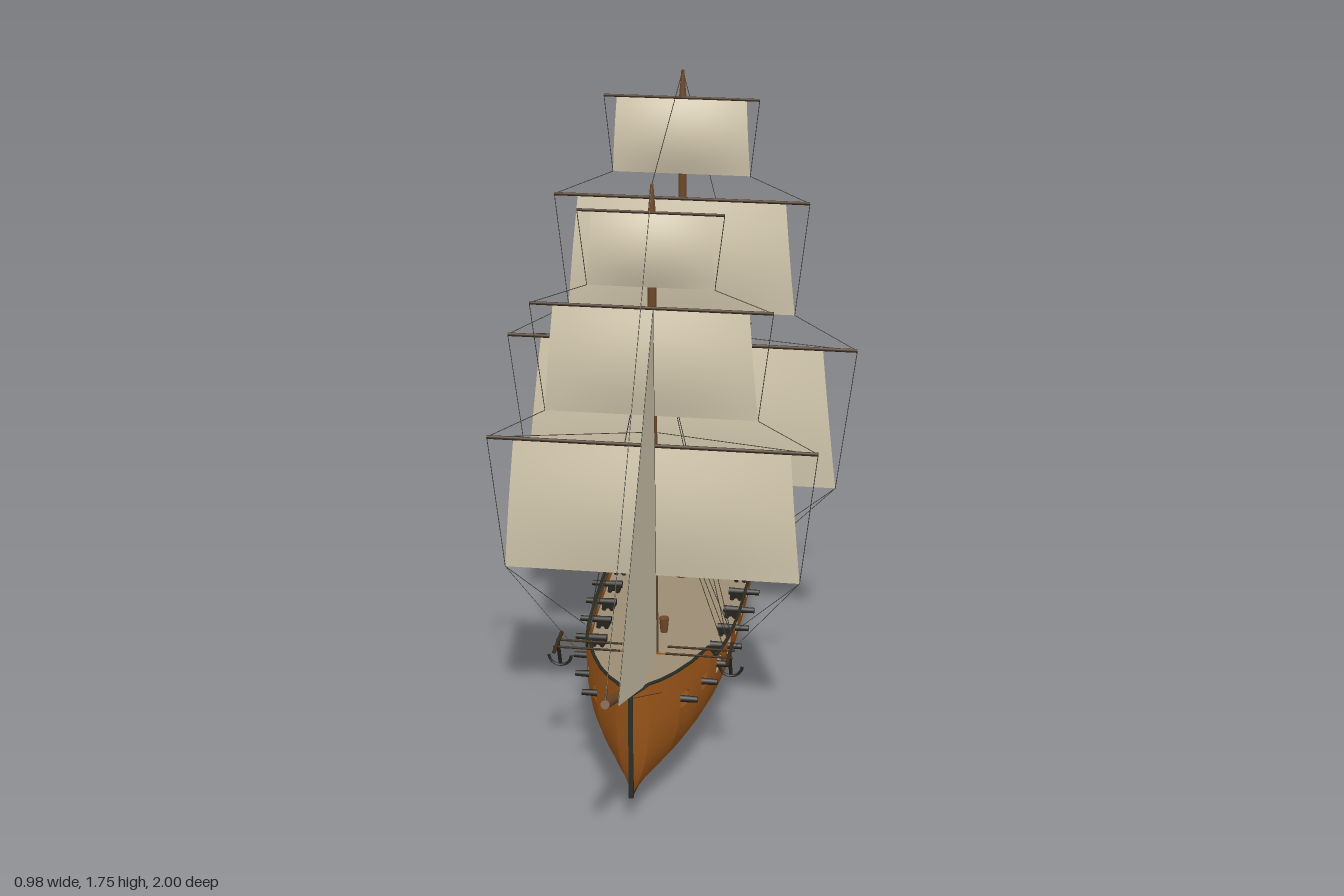
import * as THREE from 'three';

const mat = (name, color, double = false) => {
  const m = new THREE.MeshStandardMaterial({ color });
  m.name = name;
  if (double) m.side = THREE.DoubleSide;
  return m;
};

// Linear lookup in a short [z, value] table sorted by falling z
const lookup = (table, z) => {
  for (let i = 0; i < table.length - 1; i++) {
    const [a, va] = table[i], [b, vb] = table[i + 1];
    if (z <= a && z >= b) return va + (vb - va) * (a - z) / (a - b);
  }
  return z > table[0][0] ? table[0][1] : table[table.length - 1][1];
};
const BEAM = [[0.61, 0.004], [0.58, 0.04], [0.54, 0.073], [0.48, 0.107], [0.4, 0.139], [0.3, 0.165], [0.2, 0.183],
  [0.1, 0.195], [-0.05, 0.203], [-0.25, 0.206], [-0.45, 0.205], [-0.6, 0.2], [-0.72, 0.19], [-0.82, 0.172], [-0.88, 0.154], [-0.92, 0.137], [-0.96, 0.105]];
const SHEER = [[0.61, 0.385], [0.575, 0.4], [0.29, 0.37], [0.25, 0.322], [0, 0.308], [-0.3, 0.306], [-0.56, 0.317],
  [-0.572, 0.358], [-0.89, 0.374], [-0.92, 0.336], [-0.96, 0.328]];
const keelY = z => 0.004 + 0.086 * Math.pow(Math.abs(z + 0.15) / (z > -0.15 ? 0.76 : 0.81), 2.2);
const halfWidth = (z, y) => {
  const t = (y - keelY(z)) / (0.31 - keelY(z));
  const f = t < 1 ? 1 - Math.pow(1 - Math.max(t, 0), 2.6) : 1 - 0.25 * (t - 1);
  return lookup(BEAM, z) * f;
};
// Gun ports: a row of square openings following the sheer
const PORT = 0.0195;
const portZ = Array.from({ length: 12 }, (_, i) => 0.455 - i * 0.1145);
const portY = z => 0.28 + 0.055 * (z + 0.15) ** 2;
const stations = [...new Set([...BEAM, ...SHEER].map(p => p[0]).concat(portZ.flatMap(z => [z + PORT, z - PORT])))].sort((a, b) => b - a);

// Surface through a grid of points given by a rule, leaving out cells where isHole is true
function surface(nu, nv, rule, isHole = () => false) {
  const pos = [], idx = [];
  for (let i = 0; i <= nu; i++) for (let j = 0; j <= nv; j++) pos.push(...rule(i, j));
  for (let i = 0; i < nu; i++) for (let j = 0; j < nv; j++) {
    if (isHole(i, j)) continue;
    const a = i * (nv + 1) + j, b = a + nv + 1;
    idx.push(a, b, a + 1, b, b + 1, a + 1);
  }
  const g = new THREE.BufferGeometry();
  g.setAttribute('position', new THREE.Float32BufferAttribute(pos, 3));
  g.setIndex(idx);
  g.computeVertexNormals();
  return g;
}

export function createModel() {
  const root = new THREE.Group();
  root.name = 'sailingShip';
  const hullMat = mat('hullWood', 0x9a5519, true);
  const deckMat = mat('deckPlanks', 0x9c8d74, true);
  const sparMat = mat('sparWood', 0x6e4828);
  const yardMat = mat('darkYardWood', 0x3d2a18);
  const sailMat = mat('sailCloth', 0xd4c9af, true);
  const trimMat = mat('darkTrim', 0x2a2e24, true);
  const ironMat = mat('iron', 0x24221d);
  const ropeMat = mat('rope', 0x443d33);

  const add = (name, geo, m, parent = root) => {
    const mesh = new THREE.Mesh(geo, m);
    mesh.name = name;
    parent.add(mesh);
    return mesh;
  };
  const box = (name, m, w, h, d, x, y, z, parent) => {
    const b = add(name, new THREE.BoxGeometry(w, h, d), m, parent);
    b.position.set(x, y, z);
    return b;
  };
  const rod = (name, m, a, b, r0, r1 = r0, sides = 8, parent = root) => {
    const p = new THREE.Vector3(...a), q = new THREE.Vector3(...b), d = q.clone().sub(p);
    const c = add(name, new THREE.CylinderGeometry(r1, r0, d.length(), sides), m, parent);
    c.position.copy(p).add(q).multiplyScalar(0.5);
    c.quaternion.setFromUnitVectors(new THREE.Vector3(0, 1, 0), d.normalize());
    return c;
  };
  const rigging = new THREE.Group();
  rigging.name = 'rigging';
  root.add(rigging);
  const rope = (a, b) => rod('rope', ropeMat, a, b, 0.001, 0.001, 4, rigging);

  // Hull sides: rows below, across and above the open gun ports
  const low = 11, rows = low + 3;
  const hullY = (z, j) => {
    const k = keelY(z), top = lookup(SHEER, z);
    const portTop = Math.min(portY(z) + PORT, top - 0.004), portFoot = portTop - 2 * PORT;
    if (j <= low) return k + (portFoot - k) * Math.pow(j / low, 1.4);
    return portTop + (top - portTop) * (j - low - 1) / 2;
  };
  const isPort = (i, j) => {
    const mid = (stations[i] + stations[i + 1]) / 2;
    return j === low && portZ.some(z => Math.abs(z - mid) < PORT);
  };
  for (const s of [1, -1]) {
    add(s > 0 ? 'leftHull' : 'rightHull', surface(stations.length - 1, rows, (i, j) => {
      const z = stations[i], y = hullY(z, j);
      return [s * halfWidth(z, y), y, z];
    }, isPort), hullMat);
    // Rail along the sheer
    const path = new THREE.CurvePath();
    const pts = stations.map(z => {
      const y = lookup(SHEER, z);
      return new THREE.Vector3(s * halfWidth(z, y), y, z);
    });
    for (let i = 1; i < pts.length; i++) path.add(new THREE.LineCurve3(pts[i - 1], pts[i]));
    add('rail', new THREE.TubeGeometry(path, 160, 0.0045, 5), trimMat);
  }

  // Transom, keel, stem and rudder
  add('transom', surface(rows, 1, (i, j) => {
    const y = hullY(-0.96, i);
    return [(j ? -1 : 1) * halfWidth(-0.96, y), y, -0.961];
  }), trimMat);
  const keelPts = BEAM.map(([z]) => new THREE.Vector3(0, keelY(z) + 0.002, z));
  add('keel', new THREE.TubeGeometry(new THREE.CatmullRomCurve3(keelPts), 40, 0.005, 6), trimMat);
  box('stem', trimMat, 0.012, 0.3, 0.012, 0, 0.238, 0.606);
  box('rudder', sparMat, 0.012, 0.14, 0.035, 0, 0.11, -0.98);

  // Decks on three levels, with bulkheads at the steps
  const deck = (name, z0, z1, y) => {
    const zs = [z0, ...stations.filter(z => z < z0 && z > z1), z1];
    add(name, surface(zs.length - 1, 1, (i, j) => [(j ? 1 : -1) * halfWidth(zs[i], y) * 0.99, y, zs[i]]), deckMat);
  };
  deck('foreDeck', 0.605, 0.285, 0.336);
  deck('mainDeck', 0.285, -0.555, 0.257);
  deck('quarterDeck', -0.555, -0.915, 0.336);
  deck('sternLedge', -0.915, -0.96, 0.326);
  box('foreBulkhead', hullMat, 0.326, 0.082, 0.006, 0, 0.297, 0.285);
  box('quarterBulkhead', hullMat, 0.4, 0.085, 0.008, 0, 0.298, -0.553);
  box('sternRail', hullMat, 0.268, 0.028, 0.008, 0, 0.33, -0.915);

  // Cannons in the ports
  for (const z of portZ) for (const s of [1, -1]) {
    const gun = new THREE.Group();
    gun.name = 'gun';
    root.add(gun);
    const y = portY(z), w = halfWidth(z, y), cx = s * (w - 0.03);
    rod('barrel', ironMat, [s * (w - 0.052), y, z], [s * (w + 0.034), y, z], 0.011, 0.008, 8, gun);
    box('carriage', ironMat, 0.036, 0.014, 0.022, cx, y - 0.01, z, gun);
    for (const e of [-0.011, 0.011]) rod('axle', ironMat, [cx + e, y - 0.014, z - 0.018], [cx + e, y - 0.014, z + 0.018], 0.007, 0.007, 8, gun);
  }

  // Square-rigged masts. Sail: yard height, yard half, foot height, head half, foot half
  const masts = [
    { name: 'foreMast', z: 0.22, top: 1.6, sails: [[0.912, 0.43, 0.545, 0.36, 0.39], [1.285, 0.31, 0.995, 0.25, 0.275], [1.535, 0.185, 1.34, 0.15, 0.162]] },
    { name: 'mainMast', z: -0.36, top: 1.75, sails: [[0.985, 0.49, 0.57, 0.395, 0.44], [1.4, 0.35, 1.08, 0.285, 0.315], [1.68, 0.21, 1.47, 0.175, 0.187]] },
  ];
  for (const { name, z, top, sails } of masts) {
    rod(name, sparMat, [0, 0.2, z], [0, top - 0.08, z], 0.016, 0.0105, 12);
    rod(name + 'Tip', sparMat, [0, top - 0.08, z], [0, top, z], 0.0105, 0.004, 12);
    const zy = z + 0.024;
    sails.forEach(([yardY, yardHalf, footY, headHalf, footHalf], n) => {
      const thick = 0.0055 - n * 0.0008;
      rod('yard', yardMat, [-yardHalf, yardY, zy], [yardHalf, yardY, zy], thick);
      add('squareSail', surface(10, 10, (i, j) => {
        const u = i / 5 - 1, v = j / 10;
        const x = u * (headHalf + (footHalf - headHalf) * v);
        const belly = 0.026 * Math.sin(Math.PI * v) * (0.4 + 0.6 * Math.cos(u * Math.PI / 2));
        return [x, yardY + (footY - yardY) * v, zy + belly];
      }), sailMat);
      // Sheets to the yard below, lifts to the mast, braces aft
      for (const s of [1, -1]) {
        const clew = [s * footHalf, footY, zy], tip = [s * yardHalf, yardY, zy];
        rope(tip, clew);
        rope(clew, n ? [s * sails[n - 1][1], sails[n - 1][0], zy] : [s * 0.2, 0.325, z - 0.1]);
        if (!n) {
          rope(clew, [s * 0.19, 0.325, z + 0.06]);
          rope(tip, [0, yardY + 0.02, z - 0.02]);
        }
      }
    });
    // Shrouds
    for (const s of [1, -1]) for (let k = 0; k < 3; k++) {
      const za = z - 0.04 - k * 0.045, ya = lookup(SHEER, za), foot = [s * halfWidth(za, ya), ya, za];
      rope(foot, [0, sails[0][0], z]);
      if (k) rope(foot, [0, sails[1][0], z]);
    }
  }

  // Bowsprit and jib
  rod('bowsprit', sparMat, [0, 0.333, 0.44], [0, 0.565, 0.995], 0.0135, 0.011, 10);
  const panel = (name, pts) => add(name, surface(1, 1, (i, j) => pts[i * 2 + j]), sailMat);
  const tack = [0.03, 0.56, 0.99], head = [0.03, 1.34, 0.41], clew = [0.03, 0.38, 0.355];
  panel('jib', [head, tack, clew, [0.03, 0.395, 0.58]]);
  rope(head, tack);
  rope(head, clew);

  // Spanker with gaff and boom
  const throat = [0.03, 0.8, -0.36], peak = [0.145, 0.9, -0.745], boomIn = [0.03, 0.415, -0.36], boomOut = [0.145, 0.415, -0.745];
  panel('spanker', [throat, boomIn, peak, boomOut]);
  rod('gaff', yardMat, throat, [0.15, 0.903, -0.755], 0.006, 0.005);
  rod('boom', yardMat, boomIn, boomOut, 0.005);
  rope(peak, boomOut);

  // Stays
  rope([0, 1.6, 0.22], [0, 1.75, -0.36]);
  rope([0, 1.75, -0.36], peak);
  rope([0, 1.6, 0.22], [0, 0.565, 0.99]);
  for (const s of [1, -1]) rope([0, 0.56, 0.98], [s * 0.07, 0.36, 0.54]);

  // Catheads and anchors
  for (const s of [1, -1]) {
    const anchor = new THREE.Group();
    anchor.name = 'anchor';
    root.add(anchor);
    for (const z of [0.36, 0.4]) rod('cathead', yardMat, [s * 0.06, 0.398, z], [s * 0.235, 0.398, z], 0.003, 0.003, 6, anchor);
    rod('stock', yardMat, [s * 0.225, 0.405, 0.33], [s * 0.225, 0.405, 0.445], 0.005, 0.005, 6, anchor);
    rod('shank', ironMat, [s * 0.225, 0.412, 0.39], [s * 0.225, 0.325, 0.355], 0.005, 0.005, 6, anchor);
    const arms = add('flukes', new THREE.TorusGeometry(0.03, 0.004, 6, 12, Math.PI), ironMat, anchor);
    arms.position.set(s * 0.225, 0.355, 0.36);
    arms.rotation.z = Math.PI;
  }

  // Capstan and steering wheel
  rod('capstan', sparMat, [0, 0.257, 0], [0, 0.3, 0], 0.01, 0.014, 10);
  const wheel = add('steeringWheel', new THREE.TorusGeometry(0.019, 0.003, 6, 16), yardMat);
  wheel.position.set(0, 0.372, -0.805);
  for (let k = 0; k < 4; k++) {
    const a = k * Math.PI / 4, c = 0.027 * Math.cos(a), d = 0.027 * Math.sin(a);
    rod('wheelSpoke', yardMat, [c, 0.372 + d, -0.805], [-c, 0.372 - d, -0.805], 0.0018, 0.0018, 5);
  }
  box('wheelStand', yardMat, 0.012, 0.04, 0.01, 0, 0.355, -0.815);
  return root;
}
